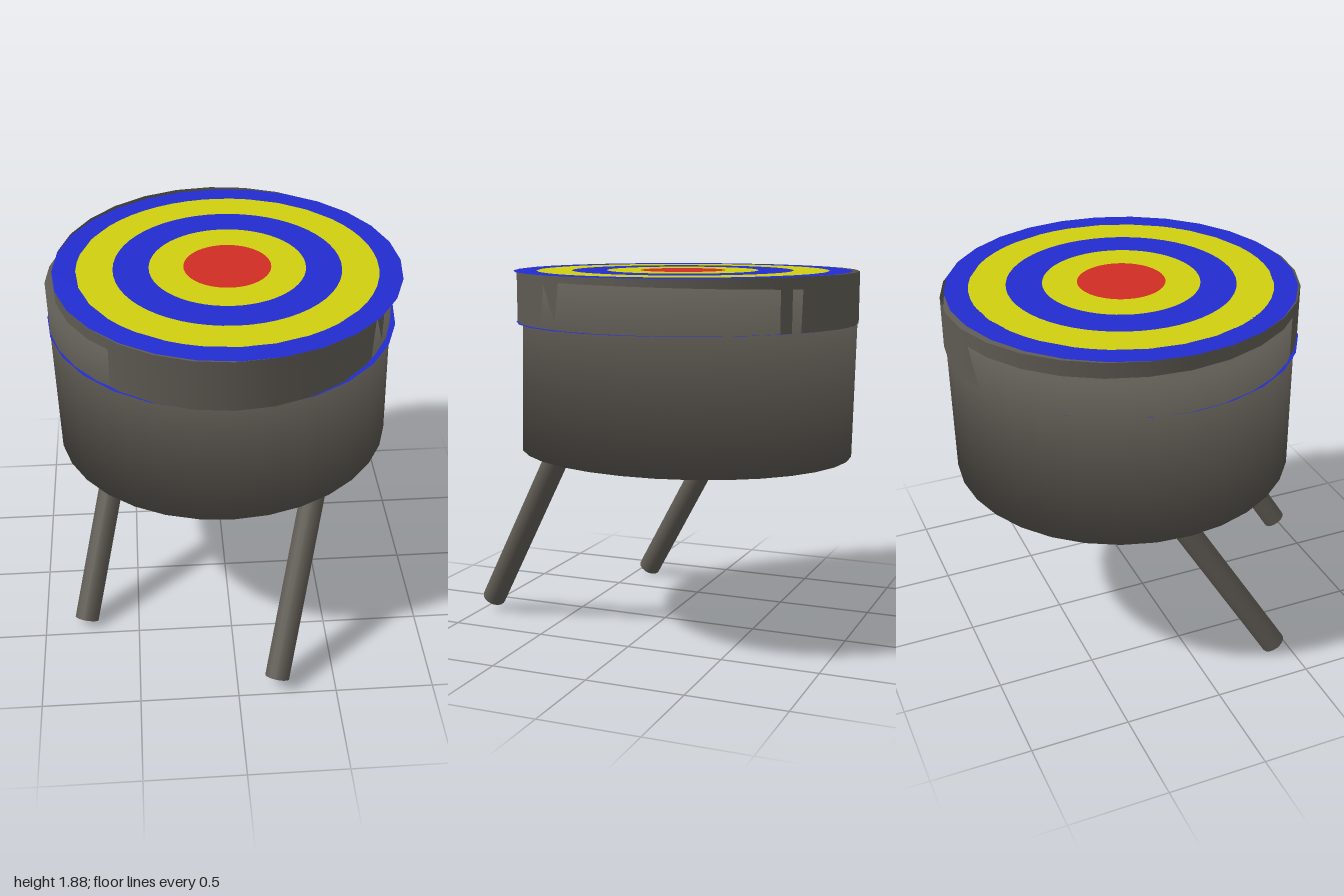
import * as THREE from 'three';

const mat = (name, color, side = THREE.FrontSide) => {
  const m = new THREE.MeshStandardMaterial({ color, side });
  m.name = name;
  return m;
};

export function createModel() {
  const group = new THREE.Group();
  const gray = mat('warmGray', 0x5e5a53);
  const rimGray = gray.clone();
  rimGray.side = THREE.DoubleSide;
  const blue = mat('blue', 0x222cd0, THREE.DoubleSide);
  const yellow = mat('yellow', 0xcfcf10, THREE.DoubleSide);
  const red = mat('red', 0xd02e24, THREE.DoubleSide);

  const add = (name, geometry, material, parent = group) => {
    const mesh = new THREE.Mesh(geometry, material);
    mesh.name = name;
    parent.add(mesh);
    return mesh;
  };
  const up = new THREE.Vector3(0, 1, 0);

  // Cylinder between two points
  const rod = (name, a, b, radius, sides, material) => {
    const dir = b.clone().sub(a);
    const mesh = add(name, new THREE.CylinderGeometry(radius, radius, dir.length(), sides), material);
    mesh.position.copy(a).add(b).multiplyScalar(0.5);
    mesh.quaternion.setFromUnitVectors(up, dir.normalize());
    return mesh;
  };

  // Slightly tilted drum, with edges shaded softly into its caps
  const drum = rod('drum', new THREE.Vector3(-0.007, 0.95, -0.118),
    new THREE.Vector3(-0.024, 1.823, -0.131), 0.861, 32, gray);
  const pos = drum.geometry.attributes.position;
  const nor = drum.geometry.attributes.normal;
  const n = new THREE.Vector3();
  for (let i = 0; i < pos.count; i++) {
    n.set(pos.getX(i) * 0.2, Math.sign(pos.getY(i)), pos.getZ(i) * 0.2).normalize();
    nor.setXYZ(i, n.x, n.y, n.z);
  }

  // Two parallel slanted legs
  const slant = new THREE.Vector3(0.264, 1, -0.6);
  [['rightLeg', -0.78, 0.036, 0.42], ['leftLeg', 0.2, 0.066, 0.945]].forEach(([name, x, y, z]) => {
    const foot = new THREE.Vector3(x, y, z);
    rod(name, foot, foot.clone().addScaledVector(slant, 1.02), 0.063, 16, gray);
  });

  // Oval rim band around the top of the drum
  const rim = add('rim', new THREE.CylinderGeometry(1, 1, 0.26, 28, 1, true), rimGray);
  rim.scale.set(0.833, 1, 0.882);
  rim.position.set(-0.01, 1.75, -0.117);

  // Flat plate under the rim
  const plate = add('lowerPlate', new THREE.CircleGeometry(0.875, 28).rotateX(-Math.PI / 2), blue);
  plate.position.set(-0.01, 1.62, -0.115);

  // Target face of concentric rings
  const target = new THREE.Group();
  target.name = 'targetFace';
  target.position.set(0.019, 1.88, -0.105);
  group.add(target);
  const radii = [0, 0.217, 0.388, 0.565, 0.747, 0.864];
  const colors = [red, yellow, blue, yellow, blue];
  colors.forEach((c, i) => {
    const sides = i === 4 ? 28 : 56;
    const geo = i === 0
      ? new THREE.CircleGeometry(radii[1], sides)
      : new THREE.RingGeometry(radii[i], radii[i + 1], sides);
    add(i === 0 ? 'bullseye' : 'ring' + i, geo.rotateX(-Math.PI / 2), c, target);
  });

  return group;
}
